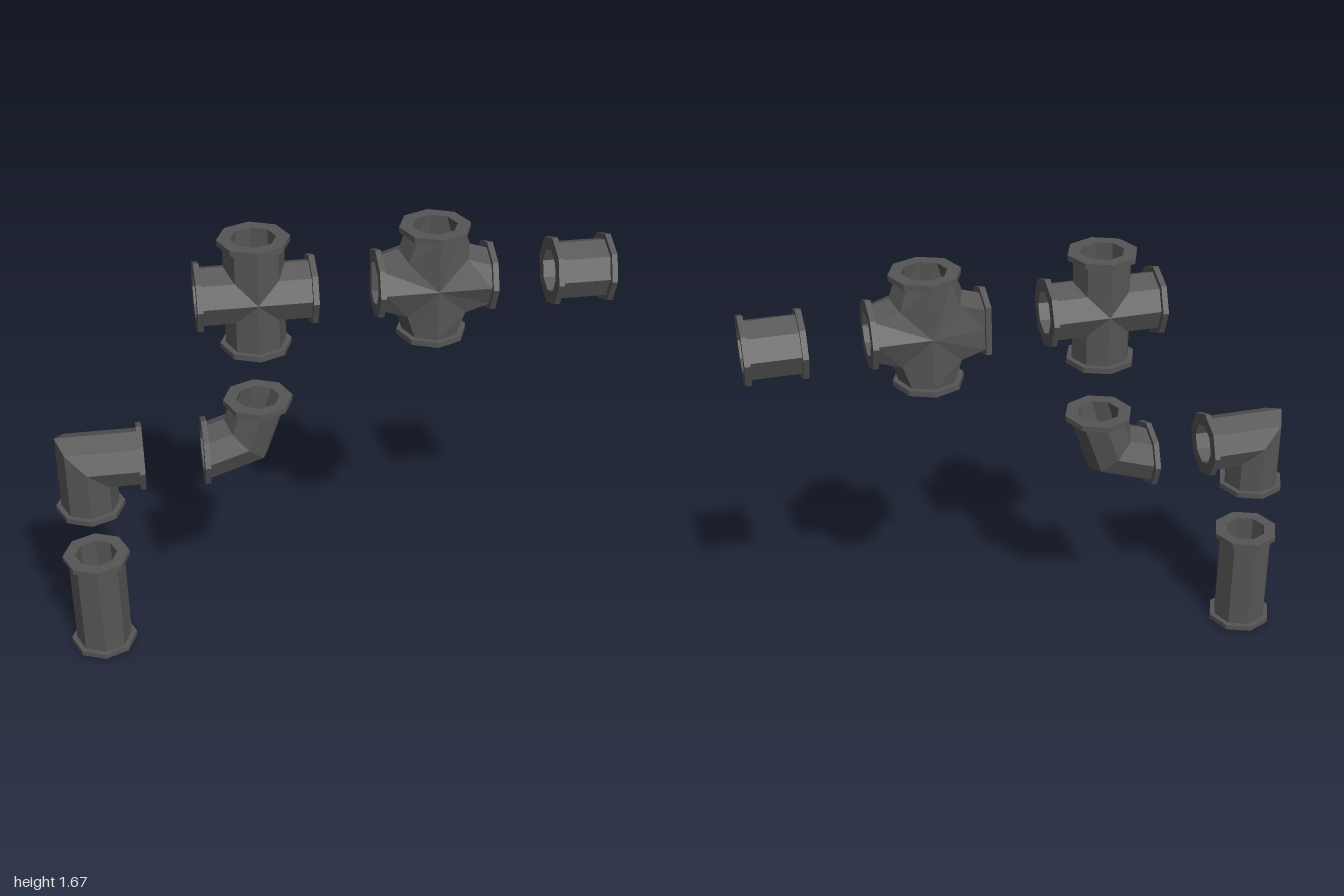
import * as THREE from 'three';

const SIDES = 8;
const BODY = 0.105, FLANGE = 0.125, BORE = 0.078, LIP = 0.02, REACH = 0.206;

// Skin a list of eight-point rings with flat faces
function loft(rings) {
  const pos = [];
  for (let i = 0; i < rings.length - 1; i++) {
    for (let j = 0; j < SIDES; j++) {
      const k = (j + 1) % SIDES;
      const a = rings[i][j], b = rings[i][k], c = rings[i + 1][k], d = rings[i + 1][j];
      pos.push(...a, ...b, ...c, ...a, ...c, ...d);
    }
  }
  const geo = new THREE.BufferGeometry();
  geo.setAttribute('position', new THREE.Float32BufferAttribute(pos, 3));
  geo.computeVertexNormals();
  return geo;
}

// Ring of points from a rule of (cos, sin)
function ring(rule) {
  return Array.from({ length: SIDES }, (_, j) => {
    const t = (j / SIDES) * Math.PI * 2;
    return rule(Math.cos(t), Math.sin(t));
  });
}

// Hollow flanged pipe; each station is [x, y, px, py], p being the in-plane ring axis
function pipeGeometry(stations) {
  const at = ([x, y, px, py], r) => ring((c, s) => [x + px * r * c, y + py * r * c, r * s]);
  const first = stations[0], last = stations[stations.length - 1];
  const body = stations.slice(1, -1), bends = stations.slice(2, -2);
  return loft([
    at(first, BORE), at(first, FLANGE), at(body[0], FLANGE),
    ...body.map((s) => at(s, BODY)),
    at(body[body.length - 1], FLANGE), at(last, FLANGE), at(last, BORE),
    ...bends.reverse().map((s) => at(s, BORE)),
    at(first, BORE),
  ]);
}

// One arm of a cross, pointing along (dx, dy); filleted arms spread at the joint
function armGeometry(dx, dy, filleted, clipped) {
  const place = (along, across, z) => [dx * along - dy * across, dy * along + dx * across, z];
  const joint = (r) => ring((c, s) => {
    let u = Math.abs(c) < 1e-6 ? 0 : Math.abs(c) * r;
    if (filleted && u > 0) u = 0.0475 + u * 0.74;
    return place(u, Math.sign(c) * u, r * s);
  });
  const end = (along, r) => ring((c, s) =>
    place(along, r * c, r * (clipped ? Math.max(s, -Math.SQRT1_2) : s)));
  return loft([
    joint(BODY), end(REACH - LIP, BODY), end(REACH - LIP, FLANGE),
    end(REACH, FLANGE), end(REACH, BORE), joint(BORE),
  ]);
}

export function createModel() {
  const model = new THREE.Group();
  model.name = 'pipeFittings';
  const iron = new THREE.MeshStandardMaterial({ color: 0x555555, flatShading: true });
  iron.name = 'darkIron';

  const add = (parent, name, geo) => {
    const mesh = new THREE.Mesh(geo, iron);
    mesh.name = name;
    parent.add(mesh);
  };

  // Straight pipes
  const up = [-1, 0], across = [0, 1];
  add(model, 'longPipe', pipeGeometry(
    [0, LIP, 0.395, 0.415].map((y) => [-0.875, y, ...up])));
  add(model, 'shortPipe', pipeGeometry(
    [0.79, 0.81, 0.98, 1].map((x) => [x, 1.46, ...across])));

  // Sharp elbow
  add(model, 'sharpElbow', pipeGeometry([
    [-0.875, 0.63, ...up], [-0.875, 0.65, ...up],
    [-0.875, 0.835, -1, 1],
    [-0.69, 0.835, ...across], [-0.67, 0.835, ...across],
  ]));

  // Gentle elbow
  add(model, 'gentleElbow', pipeGeometry([
    [-0.457, 0.835, ...across], [-0.437, 0.835, ...across],
    [-0.2975, 0.8825, -0.74, 0.74],
    [-0.25, 1.02, ...up], [-0.25, 1.04, ...up],
  ]));

  // Four-way crosses
  const arms = [['leftArm', 1, 0], ['topArm', 0, 1], ['rightArm', -1, 0], ['bottomArm', 0, -1]];
  for (const [name, x, filleted] of [['plainCross', -0.25, false], ['filletedCross', 0.372, true]]) {
    const cross = new THREE.Group();
    cross.name = name;
    cross.position.set(x, 1.462, 0);
    for (const [arm, dx, dy] of arms) {
      add(cross, arm, armGeometry(dx, dy, filleted, filleted && dx < 0));
    }
    model.add(cross);
  }
  return model;
}
